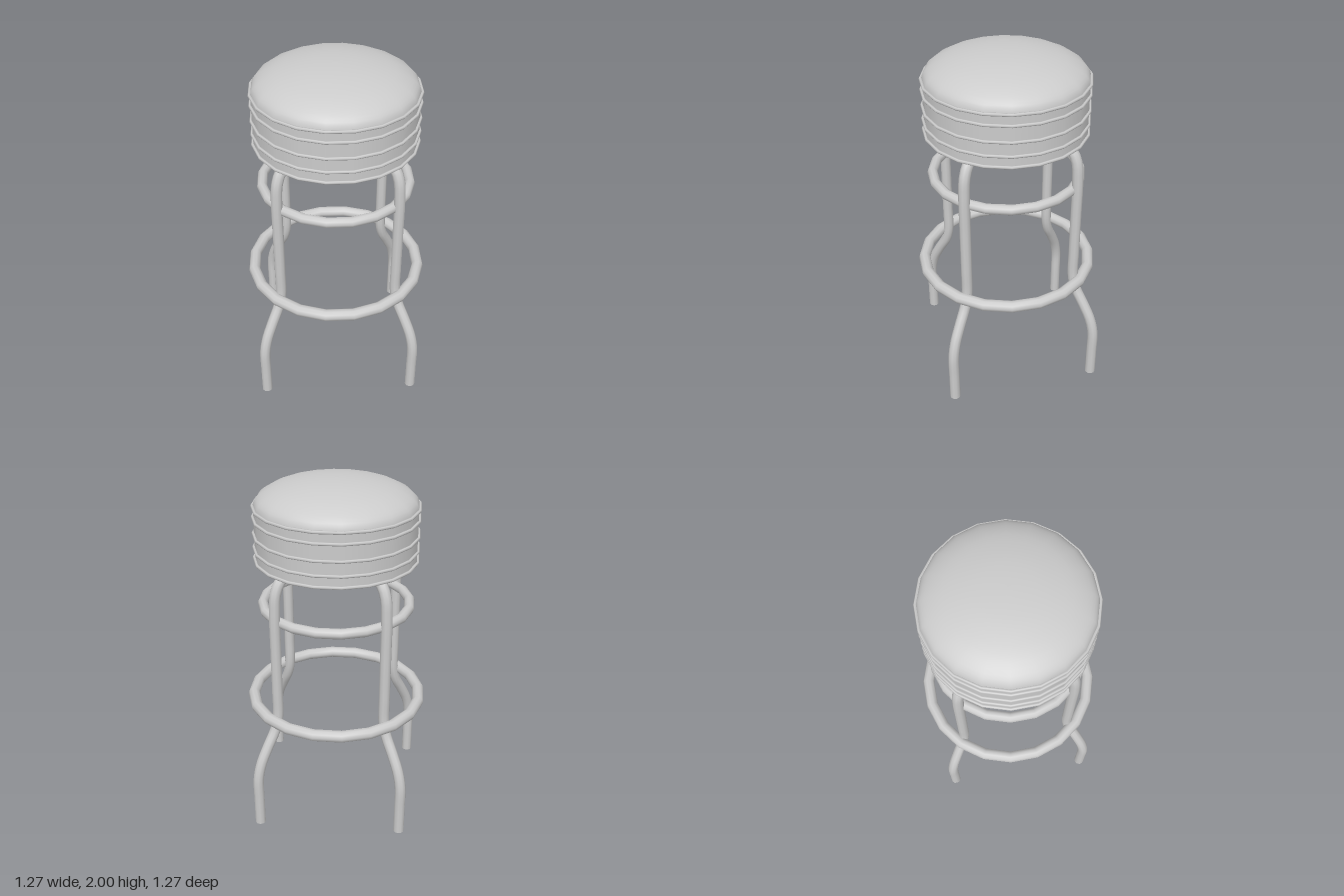
import * as THREE from 'three';

const SIDES = 20;
const v2 = (x, y) => new THREE.Vector2(x, y);

export function createModel() {
  const model = new THREE.Group();
  const mat = new THREE.MeshStandardMaterial({ color: 0xcccccc });

  const add = (name, geometry, parent = model) => {
    const mesh = new THREE.Mesh(geometry, mat);
    mesh.name = name;
    parent.add(mesh);
    return mesh;
  };
  const addRing = (name, y, radius, tube, tubeSides) => {
    const ring = add(name, new THREE.TorusGeometry(radius, tube, tubeSides, SIDES));
    ring.rotation.x = Math.PI / 2;
    ring.position.y = y;
  };

  // Seat: flat underside, upright wall and domed cushion, kept separate for crisp edges
  const underside = add('seatUnderside', new THREE.CircleGeometry(0.455, SIDES));
  underside.rotation.x = Math.PI / 2;
  underside.position.y = 1.55;
  add('seatWall', new THREE.CylinderGeometry(0.452, 0.452, 0.3, SIDES, 1, true)).position.y = 1.7;
  const dome = new THREE.SplineCurve([
    v2(0.452, 1.85), v2(0.44, 1.885), v2(0.4, 1.92), v2(0.32, 1.957),
    v2(0.2, 1.985), v2(0.09, 1.997), v2(0, 2),
  ]).getPoints(16);
  dome[dome.length - 1].x = 0;
  add('seatCushion', new THREE.LatheGeometry(dome, SIDES));

  // Trim bands around the seat
  [1.556, 1.618, 1.698, 1.79, 1.85].forEach((y, i) => addRing(`seatBand${i + 1}`, y, 0.456, 0.009, 6));

  // Brace ring and foot ring
  addRing('braceRing', 1.277, 0.42, 0.029, 10);
  addRing('footRing', 0.68, 0.497, 0.034, 10);

  // Four bent tube legs, drawn in the x-y plane and turned about the seat axis
  const legPath = new THREE.CatmullRomCurve3([
    [0.605, 0.005], [0.605, 0.17], [0.603, 0.32], [0.578, 0.415], [0.528, 0.51], [0.47, 0.61],
    [0.449, 0.69], [0.447, 0.85], [0.447, 1.1], [0.446, 1.34], [0.435, 1.45], [0.4, 1.515],
    [0.34, 1.545], [0.27, 1.565],
  ].map(([x, y]) => new THREE.Vector3(x, y, 0)));
  const legGeometry = new THREE.TubeGeometry(legPath, 48, 0.031, 10);
  const capGeometry = new THREE.CircleGeometry(0.031, 10);
  ['leftLeg', 'backLeg', 'rightLeg', 'frontLeg'].forEach((name, i) => {
    const leg = new THREE.Group();
    leg.name = name;
    add('legTube', legGeometry, leg);
    const cap = add('footCap', capGeometry, leg);
    cap.rotation.x = Math.PI / 2;
    cap.position.set(0.605, 0.005, 0);
    leg.rotation.y = (i * Math.PI) / 2;
    // The leg pairs sit slightly off the seat axis
    if (i % 2) leg.position.x = -0.02;
    else leg.position.z = -0.02;
    model.add(leg);
  });

  return model;
}
